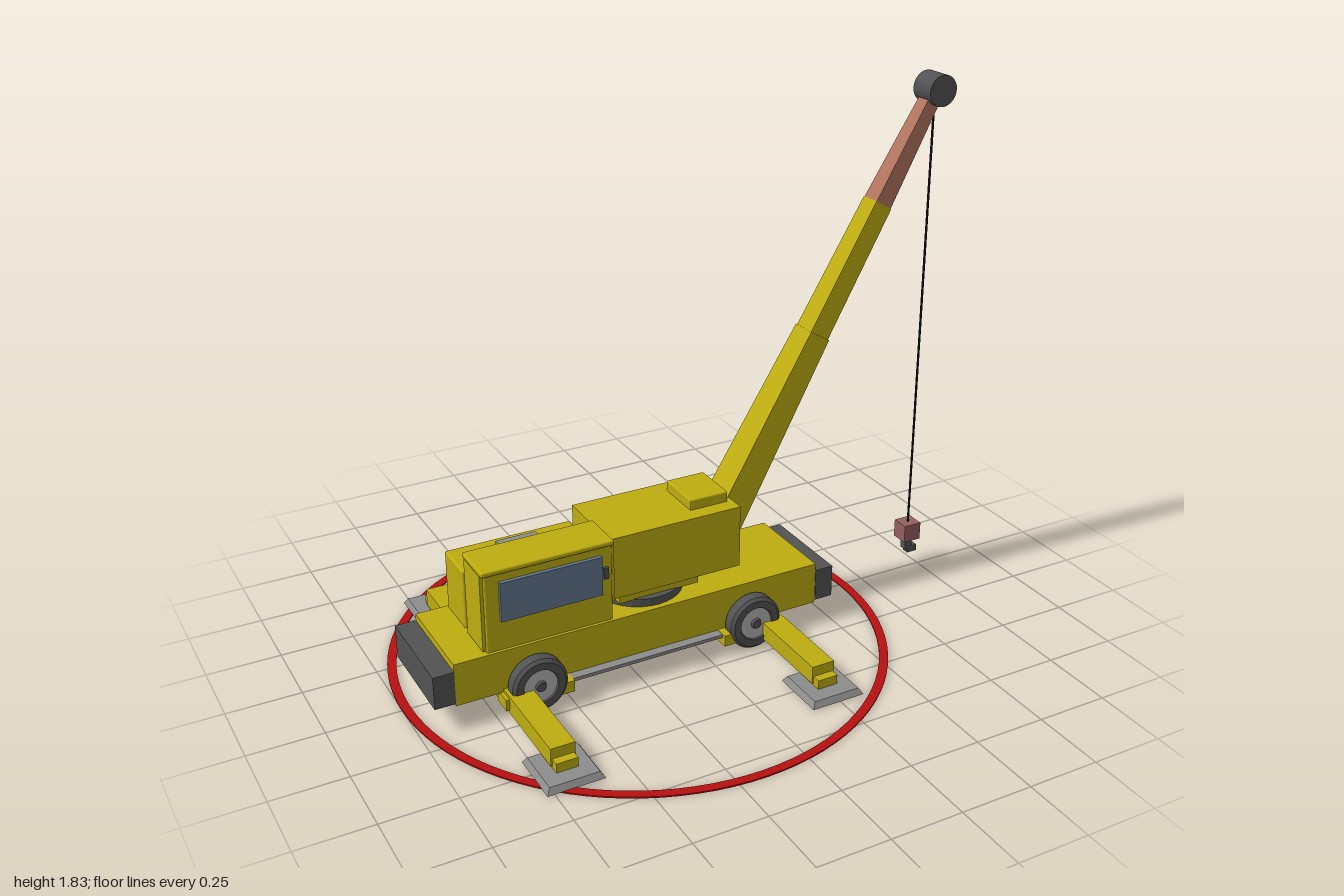
import * as THREE from 'three';
import { RoundedBoxGeometry } from 'three/addons/geometries/RoundedBoxGeometry.js';

const mat = (color) => new THREE.MeshStandardMaterial({ color, flatShading: true });
const yellow = mat(0xbfad10), dark = mat(0x525254), grey = mat(0x8c8c8c), light = mat(0xb4b4b4);
const glass = mat(0x64798e), clay = mat(0xb27560), red = mat(0xb81010), black = mat(0x1c1c1c);
const hookRed = mat(0x955f5f);

export function createModel() {
  const model = new THREE.Group();
  model.name = 'mobileCrane';

  const add = (name, geometry, material, x = 0, y = 0, z = 0, parent = model) => {
    const mesh = new THREE.Mesh(geometry, material);
    mesh.name = name;
    mesh.position.set(x, y, z);
    parent.add(mesh);
    return mesh;
  };
  // Box given by its extents on each axis
  const box = (name, material, [x0, x1], [y0, y1], [z0, z1], round = 0) => {
    const size = [x1 - x0, y1 - y0, z1 - z0];
    const g = round ? new RoundedBoxGeometry(...size, 2, round) : new THREE.BoxGeometry(...size);
    return add(name, g, material, (x0 + x1) / 2, (y0 + y1) / 2, (z0 + z1) / 2);
  };
  // Box along y whose cross-section changes from bottom (w0, d0) to top (w1, d1)
  const taper = (w0, d0, w1, d1, length) => {
    const g = new THREE.BoxGeometry(1, length, 1);
    const p = g.attributes.position;
    for (let i = 0; i < p.count; i++) {
      const top = p.getY(i) > 0;
      p.setX(i, p.getX(i) * (top ? w1 : w0));
      p.setZ(i, p.getZ(i) * (top ? d1 : d0));
    }
    g.computeVertexNormals();
    return g;
  };

  // Working-radius ring on the ground
  const ringShape = new THREE.Shape().absarc(0, 0, 0.842, 0, Math.PI * 2);
  ringShape.holes.push(new THREE.Path().absarc(0, 0, 0.812, 0, Math.PI * 2, true));
  const ring = new THREE.ExtrudeGeometry(ringShape, { depth: 0.005, bevelEnabled: false, curveSegments: 48 });
  add('groundRing', ring.rotateX(-Math.PI / 2), red, -0.16, 0, 0);

  // Carrier
  box('chassis', yellow, [-0.88, 0.435], [0.08, 0.23], [-0.17, 0.17]);
  box('rearBumper', dark, [-0.95, -0.88], [0.09, 0.205], [-0.172, 0.172]);
  box('frontBumper', dark, [0.435, 0.503], [0.09, 0.205], [-0.172, 0.172]);

  // Wheel: lathed tyre, recessed hub and cap, turned to face +z
  const tyreProfile = [[0.058, -0.028], [0.085, -0.028], [0.095, -0.018], [0.095, 0.018],
    [0.085, 0.028], [0.06, 0.028], [0.055, 0.018]].map(([r, y]) => new THREE.Vector2(r, y));
  const tyreGeo = new THREE.LatheGeometry(tyreProfile, 28).rotateX(Math.PI / 2);
  const hubGeo = new THREE.CylinderGeometry(0.058, 0.058, 0.045, 24).rotateX(Math.PI / 2);
  const capGeo = new THREE.CylinderGeometry(0.016, 0.02, 0.012, 12).rotateX(Math.PI / 2);
  const tyreMat = dark.clone();
  tyreMat.side = THREE.DoubleSide;

  for (const side of [1, -1]) {
    const span = (a, b) => (side > 0 ? [a, b] : [-b, -a]);
    box('runningBoard', grey, [-0.53, 0.085], [0.068, 0.08], span(0.13, 0.203));
    for (const x of [-0.615, 0.17]) {
      const wheel = new THREE.Group();
      wheel.name = 'wheel';
      wheel.position.set(x, 0.1, side * 0.198);
      if (side < 0) wheel.rotation.y = Math.PI;
      add('tyre', tyreGeo, tyreMat, 0, 0, 0, wheel);
      add('hub', hubGeo, light, 0, 0, 0, wheel);
      add('hubCap', capGeo, dark, 0, 0, 0.026, wheel);
      model.add(wheel);
      box('outriggerHousing', yellow, [x - 0.118, x + 0.118], [0.042, 0.082], span(0.15, 0.218));
    }
    // Outrigger feet
    for (const x of [-0.68, 0.24]) {
      box('outriggerJack', yellow, [x - 0.036, x + 0.036], [0.024, 0.056], span(0.49, 0.556));
      add('outriggerPad', taper(0.19, 0.19, 0.165, 0.165, 0.02), grey, x, 0.014, side * 0.527);
    }
  }
  // Beams reaching across to both feet
  for (const x of [-0.68, 0.24])
    box('outriggerBeam', yellow, [x - 0.041, x + 0.041], [0.03, 0.092], [-0.527, 0.527]);

  // Turntable and upper body
  add('turntable', new THREE.CylinderGeometry(0.15, 0.15, 0.03, 32), dark, -0.16, 0.243, 0);
  box('turntableDeck', yellow, [-0.29, 0], [0.255, 0.287], [-0.125, 0.125]);
  box('upperBody', yellow, [-0.33, 0.153], [0.284, 0.504], [-0.138, 0.136]);
  box('topHatch', yellow, [-0.005, 0.135], [0.5, 0.541], [-0.085, 0.082], 0.005);

  // Engine cover with grille
  box('engineCover', yellow, [-0.77, -0.33], [0.225, 0.435], [-0.165, -0.01], 0.006);
  box('engineGrille', grey, [-0.607, -0.467], [0.42, 0.445], [-0.132, 0.005]);

  // Cab
  box('cab', yellow, [-0.765, -0.33], [0.225, 0.51], [0.018, 0.16], 0.006);
  box('cabRoof', yellow, [-0.775, -0.325], [0.5, 0.518], [0.01, 0.168], 0.006);
  box('cabRearPanel', yellow, [-0.776, -0.76], [0.235, 0.503], [0.025, 0.153]);
  box('cabFrontPanel', yellow, [-0.335, -0.32], [0.29, 0.505], [0.025, 0.153]);
  box('cabWindow', glass, [-0.717, -0.37], [0.335, 0.472], [0.15, 0.173]);
  box('cabMirror', dark, [-0.374, -0.358], [0.403, 0.443], [0.183, 0.195]);
  box('mirrorArm', dark, [-0.37, -0.362], [0.418, 0.426], [0.155, 0.185]);

  // Telescopic boom, built upright and leaned 30 degrees forward
  const boom = new THREE.Group();
  boom.name = 'boom';
  boom.position.set(0.128, 0.363, 0);
  boom.rotation.z = -Math.PI / 6;
  model.add(boom);
  const section = (name, m, s0, s1, w0, d0, w1, d1) =>
    add(name, taper(w0, d0, w1, d1, s1 - s0), m, 0, (s0 + s1) / 2, 0, boom);
  section('boomBase', yellow, 0, 0.747, 0.114, 0.125, 0.083, 0.094);
  section('boomMiddle', yellow, 0.74, 1.224, 0.078, 0.086, 0.07, 0.072);
  section('boomTip', clay, 1.22, 1.636, 0.066, 0.07, 0.046, 0.05);
  add('liftRam', new THREE.CylinderGeometry(0.012, 0.012, 0.17, 12), grey, 0.05, 0.515, 0, boom);
  const pin = new THREE.CylinderGeometry(0.032, 0.032, 0.14, 20).rotateX(Math.PI / 2);
  add('boomFootPin', pin, dark, 0.142, 0.362, 0);

  // Head sheave, hoist cable and hook
  const sheave = new THREE.CylinderGeometry(0.053, 0.053, 0.092, 28).rotateX(Math.PI / 2);
  add('headSheave', sheave, dark, 0.946, 1.78, 0);
  add('hoistCable', new THREE.CylinderGeometry(0.004, 0.004, 1.57, 8), black, 0.946, 0.965, 0);
  box('hookBlock', hookRed, [0.911, 0.979], [0.122, 0.187], [-0.032, 0.032]);
  box('hookStem', dark, [0.93, 0.958], [0.08, 0.125], [-0.014, 0.014]);
  box('hookFoot', dark, [0.942, 0.982], [0.063, 0.087], [-0.012, 0.012]);

  return model;
}
